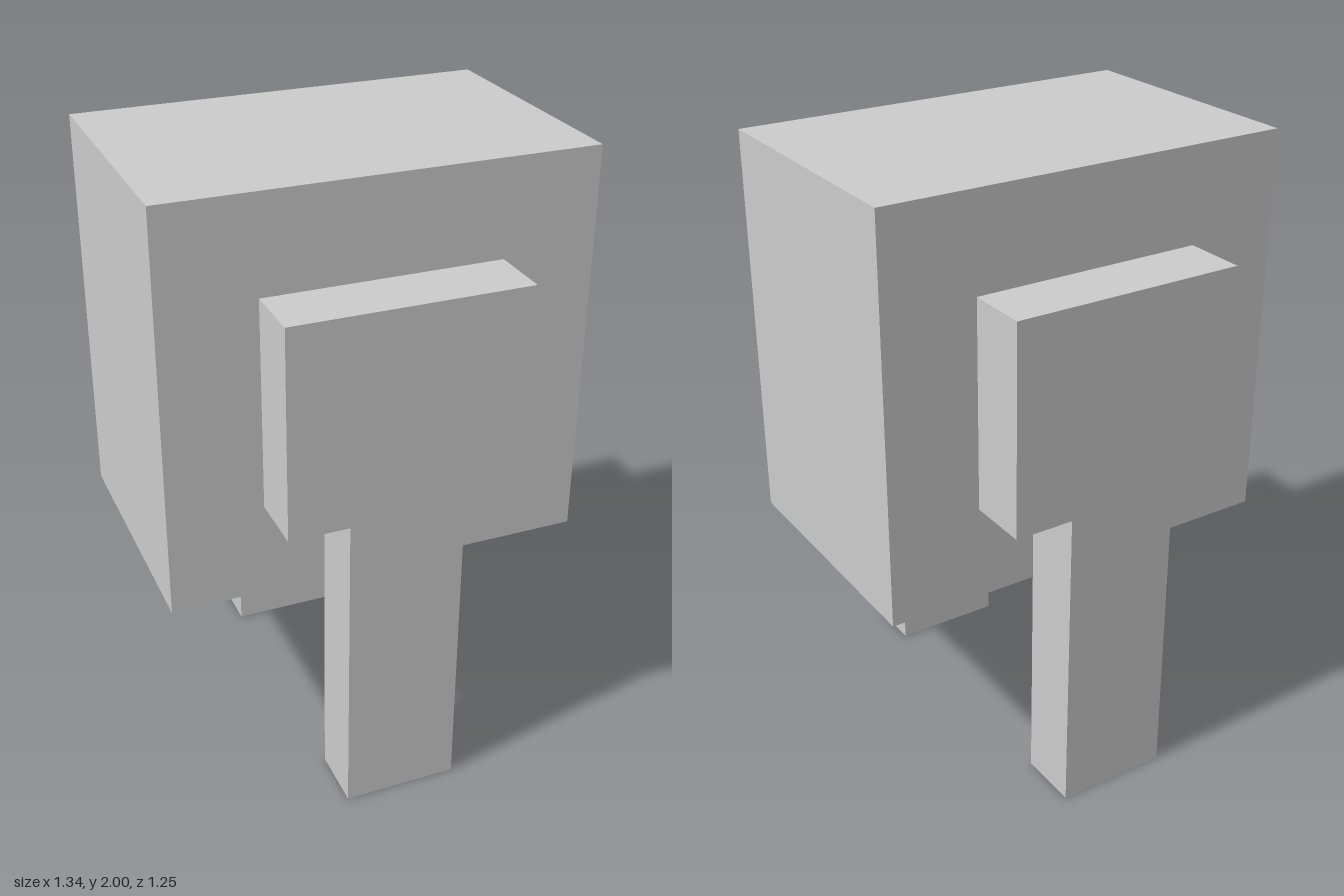
import * as THREE from 'three';

const material = new THREE.MeshStandardMaterial({ color: 0xcccccc, flatShading: true });

const BODY = { width: 1.34, bottom: 0.73, top: 2, depth: 0.85 };
const LEG_DEPTH = 0.2;

// T-shaped outline: a wide mounting plate on top of a narrow post
function legShape() {
  const post = 0.183, plate = 0.373, shoulder = 1.03, top = 1.695;
  const half = [[post, 0], [post, shoulder], [plate, shoulder], [plate, top]];
  const mirrored = half.map(([x, y]) => [-x, y]).reverse();
  return new THREE.Shape([...half, ...mirrored].map(([x, y]) => new THREE.Vector2(x, y)));
}

export function createModel() {
  const model = new THREE.Group();
  model.name = 'blockOnLegs';

  // Main block
  const height = BODY.top - BODY.bottom;
  const body = new THREE.Mesh(new THREE.BoxGeometry(BODY.width, height, BODY.depth), material);
  body.name = 'body';
  body.position.y = BODY.bottom + height / 2;
  model.add(body);

  // One leg on the front face, one on the back
  const legGeometry = new THREE.ExtrudeGeometry(legShape(), { depth: LEG_DEPTH, bevelEnabled: false });
  for (const [name, angle] of [['frontLeg', 0], ['backLeg', Math.PI]]) {
    const leg = new THREE.Mesh(legGeometry, material);
    leg.name = name;
    leg.rotation.y = angle;
    leg.position.z = Math.cos(angle) * BODY.depth / 2;
    model.add(leg);
  }

  return model;
}
